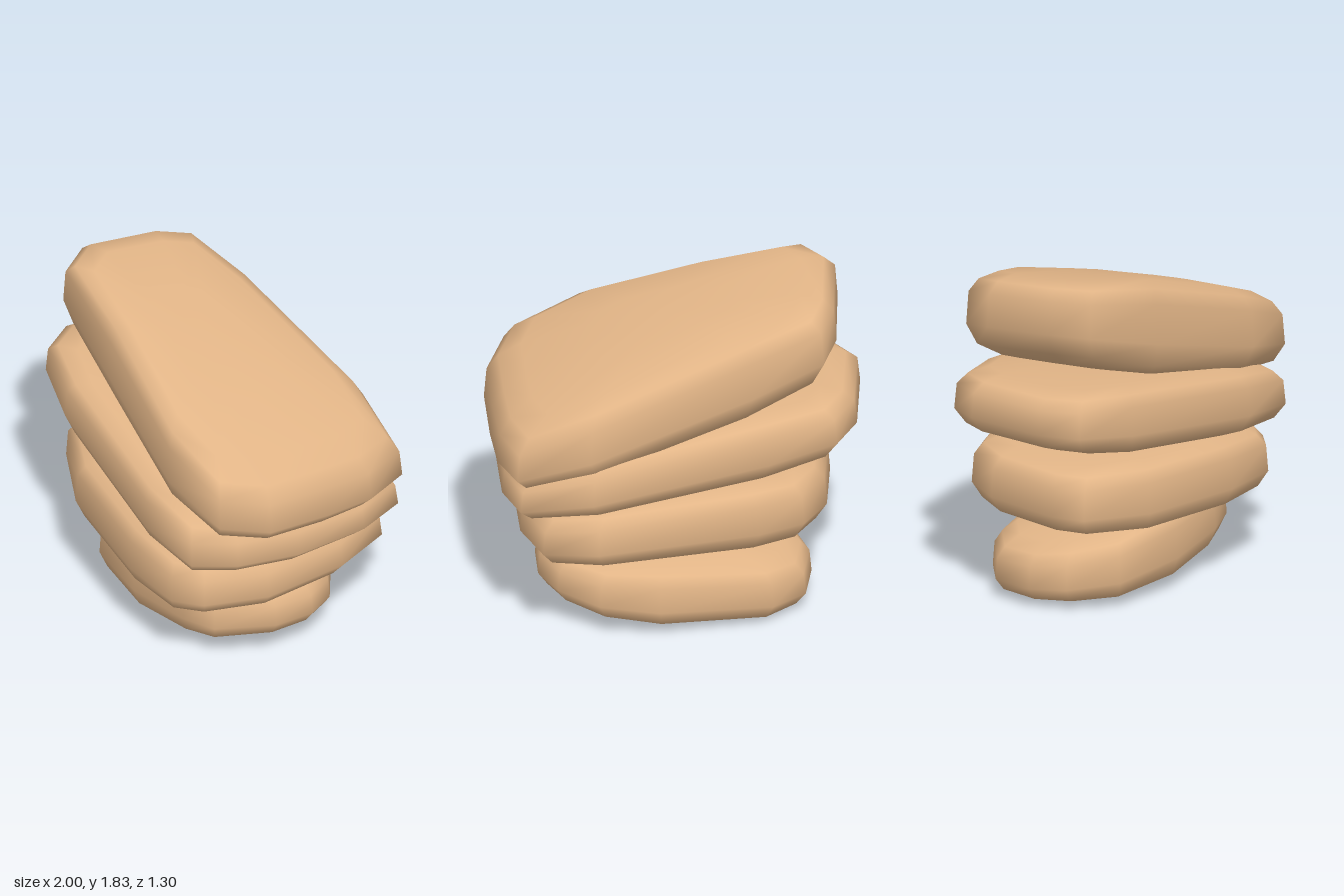
import * as THREE from 'three';

// Rounded edge shared by all stones: [inset of the outline, height from bottom 0 to top 1]
const EDGE = [[0.4, 0], [0.77, 0], [0.93, 0.08], [1, 0.32], [0.985, 0.76], [0.92, 0.92], [0.79, 1], [0.4, 1]];

// A stone has a plan outline [x, z] (clockwise from above), tilted bottom and top
// faces [height at the middle, slope along x], a crown that bulges both faces,
// and a roll across z.
function stone(name, outline, bottom, top, crown, roll, material) {
  const shape = outline.map(([x, z]) => new THREE.Vector2(x, z));
  const mid = new THREE.Box2().setFromPoints(shape).getCenter(new THREE.Vector2());
  const n = shape.length;
  const positions = [];
  const index = [];

  const addPoint = (p, scale, h) => {
    const { x, y: z } = p.clone().sub(mid).multiplyScalar(scale).add(mid);
    const bulge = crown * (x * x + z * z);
    const low = bottom[0] + bottom[1] * x + bulge;
    const high = top[0] + top[1] * x - bulge;
    positions.push(x, THREE.MathUtils.lerp(low, high, h) + roll * z, z);
  };
  EDGE.forEach(([scale, h]) => shape.forEach((p) => addPoint(p, scale, h)));

  // Centres of the bottom and top
  const centre = EDGE.length * n;
  const last = centre - n;
  addPoint(mid, 1, 0);
  addPoint(mid, 1, 1);

  for (let i = 0; i < n; i++) {
    const j = (i + 1) % n;
    for (let r = 0; r < last; r += n) {
      index.push(r + j, r + i, r + n + i, r + j, r + n + i, r + n + j);
    }
    index.push(centre, i, j, centre + 1, last + j, last + i);
  }

  const geometry = new THREE.BufferGeometry();
  geometry.setAttribute('position', new THREE.Float32BufferAttribute(positions, 3));
  geometry.setIndex(index);
  geometry.computeVertexNormals();
  const mesh = new THREE.Mesh(geometry, material);
  mesh.name = name;
  return mesh;
}

export function createModel() {
  const group = new THREE.Group();
  group.name = 'stackedStones';
  const tan = new THREE.MeshStandardMaterial({ color: 0xe2b587 });

  group.add(stone('bottomStone',
    [[-0.69, -0.2], [-0.6, -0.43], [-0.4, -0.54], [0.2, -0.54], [0.5, -0.46], [0.68, -0.28],
      [0.74, -0.1], [0.7, 0.12], [0.5, 0.37], [0.3, 0.4], [-0.1, 0.37], [-0.5, 0.23], [-0.66, 0]],
    [0.02, 0.08], [0.43, 0.07], 0.15, 0.07, tan));

  group.add(stone('lowerStone',
    [[-0.84, 0], [-0.72, -0.4], [-0.55, -0.59], [-0.3, -0.64], [0.55, -0.62], [0.82, -0.52],
      [0.86, -0.2], [0.78, 0.25], [0.6, 0.54], [0.45, 0.63], [0.1, 0.59], [-0.5, 0.4], [-0.81, 0.17]],
    [0.415, -0.02], [0.82, -0.05], 0.06, -0.04, tan));

  group.add(stone('upperStone',
    [[-1, 0], [-0.87, -0.44], [-0.72, -0.61], [-0.35, -0.65], [0.58, -0.63], [0.94, -0.52],
      [0.97, -0.25], [0.9, 0.15], [0.77, 0.46], [0.62, 0.65], [0.25, 0.62], [-0.62, 0.36], [-0.93, 0.2]],
    [0.79, -0.135], [1.19, -0.155], 0.06, -0.02, tan));

  group.add(stone('topStone',
    [[-0.88, 0], [-0.77, -0.4], [-0.66, -0.57], [-0.27, -0.61], [0.59, -0.62], [0.96, -0.53],
      [1, -0.27], [0.97, 0], [0.91, 0.36], [0.76, 0.58], [0.38, 0.58], [-0.3, 0.35], [-0.8, 0.2]],
    [1.12, -0.31], [1.655, -0.32], 0.09, 0.04, tan));

  return group;
}
